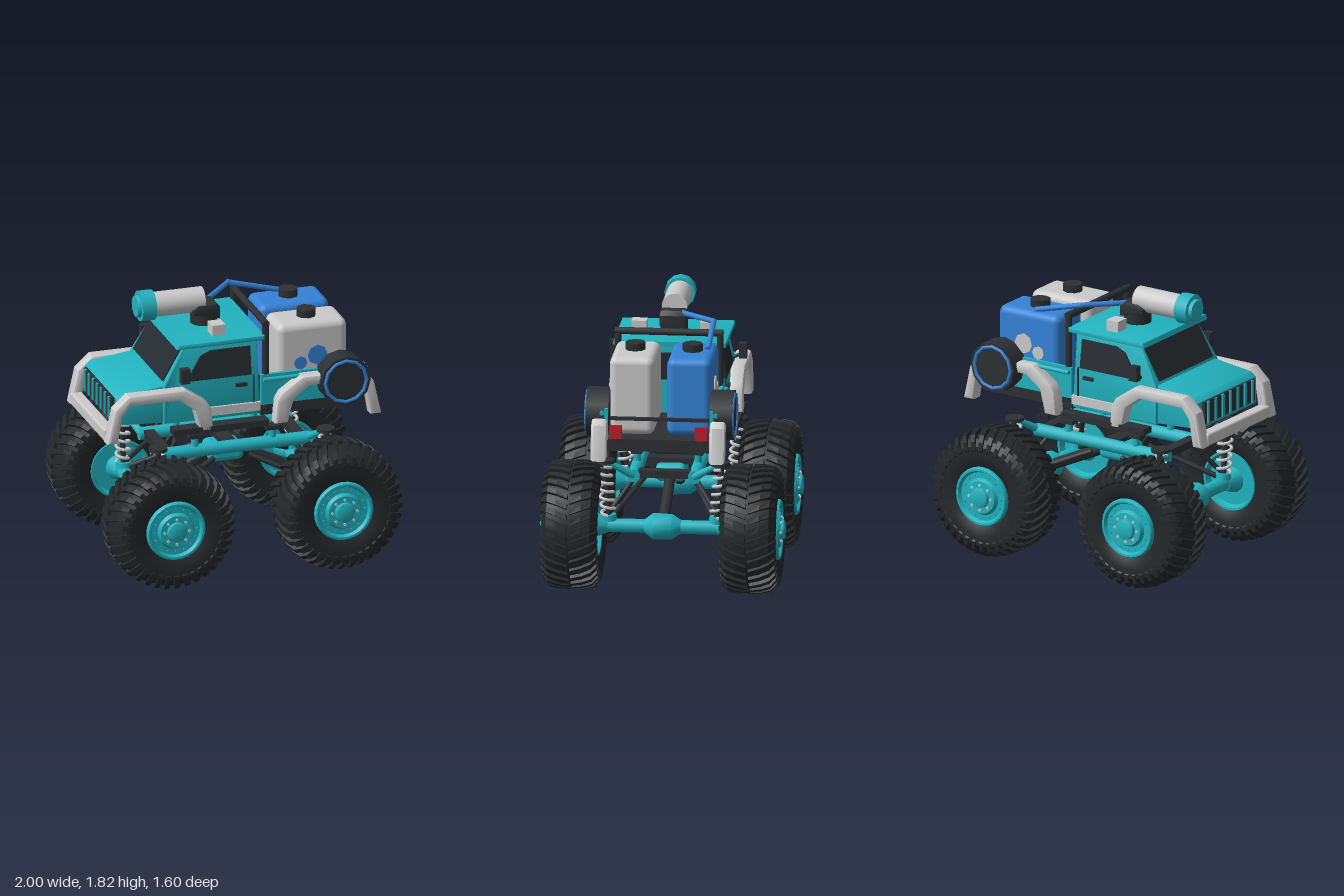
import * as THREE from 'three';
import { RoundedBoxGeometry } from 'three/addons/geometries/RoundedBoxGeometry.js';
import { toCreasedNormals } from 'three/addons/utils/BufferGeometryUtils.js';

const paint = (color, side = THREE.FrontSide) => new THREE.MeshStandardMaterial({ color, side });
const TEAL = paint(0x22b4c0), DARK = paint(0x2d3134), RUBBER = paint(0x24282b);
const BLUE = paint(0x3583d8), RED = paint(0xc01f28), GREY = paint(0xcccccc), GLASS = paint(0x252b30);
const V = (x, y, z) => new THREE.Vector3(x, y, z);

function add(parent, name, geo, mat, x = 0, y = 0, z = 0) {
  const m = new THREE.Mesh(geo, mat);
  m.name = name;
  m.position.set(x, y, z);
  parent.add(m);
  return m;
}
const box = (p, name, mat, w, h, d, x, y, z) => add(p, name, new THREE.BoxGeometry(w, h, d), mat, x, y, z);

// Cylinder between two points
function rod(p, name, mat, a, b, r, r2 = r, seg = 14) {
  const d = b.clone().sub(a);
  const m = add(p, name, new THREE.CylinderGeometry(r2, r, d.length(), seg), mat);
  m.position.copy(a).addScaledVector(d, 0.5);
  m.quaternion.setFromUnitVectors(V(0, 1, 0), d.normalize());
  return m;
}

// Side profile extruded across z between z0 and z1
function slab(p, name, mat, pts, z0, z1, bevel = 0, rule = null) {
  const shape = new THREE.Shape(pts.map(([x, y]) => new THREE.Vector2(x, y)));
  const geo = new THREE.ExtrudeGeometry(shape, {
    depth: z1 - z0 - 2 * bevel, bevelEnabled: bevel > 0, bevelSize: bevel,
    bevelThickness: bevel, bevelOffset: -bevel, bevelSegments: 2,
  });
  geo.translate(0, 0, z0 + bevel);
  if (rule) {
    const q = geo.attributes.position;
    for (let i = 0; i < q.count; i++) q.setZ(i, q.getZ(i) * rule(q.getY(i)));
  }
  return add(p, name, toCreasedNormals(geo, 0.6), mat);
}

function lathe(p, name, mat, pts, seg, z = 0) {
  const geo = new THREE.LatheGeometry(pts.map(([r, y]) => new THREE.Vector2(r, y)), seg);
  geo.rotateX(Math.PI / 2);
  return add(p, name, toCreasedNormals(geo, 0.6), mat, 0, 0, z);
}

// One half of the tread: slanted lugs swept over the shoulder
function treadGeometry(count) {
  const path = [[0.008, 0.4], [0.08, 0.4], [0.14, 0.388], [0.175, 0.35], [0.183, 0.315]];
  const pos = [];
  for (let n = 0; n < count; n++) {
    const rings = path.map(([z, r], k) => {
      const a = (n / count) * Math.PI * 2 + z * 0.95, w = 0.052, lift = k === 4 ? 0.003 : 0.024;
      return [[r - 0.01, -w, z - 0.004], [r + lift, -w * 0.8, z * 1.03], [r + lift, w * 0.8, z * 1.03], [r - 0.01, w, z - 0.004]]
        .map(([R, da, Z]) => [R * Math.cos(a + da), R * Math.sin(a + da), Z]);
    });
    const quad = (a, b, c, d) => pos.push(...a, ...b, ...c, ...a, ...c, ...d);
    for (let k = 0; k < 4; k++) for (let i = 0; i < 4; i++) {
      const j = (i + 1) % 4;
      quad(rings[k][i], rings[k][j], rings[k + 1][j], rings[k + 1][i]);
    }
    quad(...rings[4]);
    quad(...[...rings[0]].reverse());
  }
  const geo = new THREE.BufferGeometry();
  geo.setAttribute('position', new THREE.Float32BufferAttribute(pos, 3));
  geo.computeVertexNormals();
  return geo;
}
const TREAD = treadGeometry(36);

function wheel() {
  const g = new THREE.Group();
  g.name = 'wheel';
  lathe(g, 'tyre', RUBBER, [[0.19, -0.15], [0.21, -0.165], [0.28, -0.183], [0.34, -0.18], [0.385, -0.145], [0.402, -0.08],
    [0.402, 0.08], [0.385, 0.145], [0.34, 0.18], [0.28, 0.183], [0.21, 0.165], [0.19, 0.15]], 48);
  add(g, 'outerTread', TREAD, RUBBER);
  const inner = add(g, 'innerTread', TREAD, RUBBER);
  inner.scale.z = -1;
  inner.rotation.z = Math.PI / 36;
  lathe(g, 'rim', TEAL, [[0, -0.13], [0.17, -0.13], [0.185, -0.17], [0.2, -0.17], [0.2, 0.175], [0.192, 0.187],
    [0.178, 0.187], [0.165, 0.165], [0.125, 0.165], [0.11, 0.19], [0.068, 0.19], [0.064, 0.21], [0.05, 0.216], [0, 0.216]], 32);
  for (let i = 0; i < 8; i++) {
    const a = (i / 8) * Math.PI * 2, c = Math.cos(a), s = Math.sin(a);
    rod(g, 'wheelNut', GREY, V(c * 0.085, s * 0.085, 0.18), V(c * 0.085, s * 0.085, 0.2), 0.01, 0.01, 6);
  }
  for (let i = 0; i < 16; i++) {
    const a = (i / 16) * Math.PI * 2;
    rod(g, 'rimBolt', TEAL, V(Math.cos(a) * 0.147, Math.sin(a) * 0.147, 0.16), V(Math.cos(a) * 0.147, Math.sin(a) * 0.147, 0.174), 0.008, 0.008, 6);
  }
  return g;
}

class Helix extends THREE.Curve {
  getPoint(t, out = new THREE.Vector3()) {
    const a = t * Math.PI * 12;
    return out.set(Math.cos(a) * 0.045, 0.5 + t * 0.33, 0.355 + t * 0.03 + Math.sin(a) * 0.045);
  }
}
const SPRING = new THREE.TubeGeometry(new Helix(), 110, 0.011, 6);

// Wheel, spring and links for one corner, built at the rear on +z
function corner() {
  const g = new THREE.Group();
  g.name = 'suspensionCorner';
  const w = wheel();
  w.position.set(0.575, 0.428, 0.585);
  g.add(w);
  add(g, 'coilSpring', SPRING, GREY, 0.575);
  rod(g, 'damper', DARK, V(0.575, 0.46, 0.35), V(0.575, 0.86, 0.387), 0.018);
  rod(g, 'springCap', DARK, V(0.575, 0.85, 0.375), V(0.575, 0.872, 0.375), 0.062, 0.062, 12);
  rod(g, 'springSeat', TEAL, V(0.575, 0.46, 0.35), V(0.575, 0.5, 0.355), 0.05);
  rod(g, 'shockArm', TEAL, V(0.5, 0.75, 0.2), V(0.575, 0.85, 0.36), 0.028, 0.018, 10);
  rod(g, 'lowerLink', DARK, V(0.12, 0.66, 0.15), V(0.56, 0.47, 0.34), 0.018);
  rod(g, 'upperLink', DARK, V(0.42, 0.73, 0.19), V(0.56, 0.5, 0.36), 0.016);
  rod(g, 'hubFlange', TEAL, V(0.575, 0.428, 0.36), V(0.575, 0.428, 0.46), 0.05, 0.09);
  rod(g, 'mountPost', TEAL, V(0.265, 0.75, 0.2), V(0.265, 0.85, 0.2), 0.025);
  box(g, 'mountPad', DARK, 0.095, 0.028, 0.07, 0.265, 0.855, 0.2);
  return g;
}

function chassis() {
  const g = new THREE.Group();
  g.name = 'chassis';
  for (const sx of [1, -1]) {
    for (const sz of [1, -1]) {
      const c = corner();
      c.scale.set(sx, 1, sz);
      g.add(c);
    }
    rod(g, 'axle', TEAL, V(sx * 0.575, 0.428, -0.42), V(sx * 0.575, 0.428, 0.42), 0.046);
    const diff = lathe(g, 'differential', TEAL, [[0.046, -0.12], [0.085, -0.06], [0.09, 0.06], [0.046, 0.12]], 12);
    diff.position.set(sx * 0.575, 0.428, 0);
    rod(g, 'driveShaft', DARK, V(sx * 0.53, 0.45, 0), V(sx * 0.08, 0.66, 0), 0.036);
    box(g, 'crossMember', DARK, 0.07, 0.05, 0.36, sx * 0.46, 0.755, 0);
    rod(g, 'rail', TEAL, V(-0.52, 0.748, sx * 0.2), V(0.52, 0.748, sx * 0.2), 0.043);
  }
  box(g, 'centreCrossMember', DARK, 0.1, 0.04, 0.4, 0, 0.73, 0);
  add(g, 'transferCase', new RoundedBoxGeometry(0.24, 0.12, 0.2, 3, 0.04), TEAL, -0.01, 0.66, 0);
  return g;
}

const taper = (y) => 1 - 0.1 * Math.max(0, (y - 1.26) / 0.26);

// Everything that repeats on both flanks, built on +z
function flank() {
  const g = new THREE.Group();
  g.name = 'flank';
  const arch = [[-0.94, 0.95], [-0.865, 0.95], [-0.835, 1.13], [-0.78, 1.2], [-0.45, 1.2], [-0.34, 1.12], [-0.3, 0.96],
    [-0.21, 0.96], [-0.225, 1.12], [-0.255, 1.17], [-0.4, 1.27], [-0.79, 1.27], [-0.89, 1.18]];
  slab(g, 'frontFender', GREY, arch, 0.335, 0.44, 0.02);
  slab(g, 'rearFender', GREY, arch.map(([x, y]) => [-x, y]).reverse(), 0.335, 0.44, 0.02);
  slab(g, 'sideWindow', GLASS, [[-0.37, 1.3], [0.07, 1.3], [0.07, 1.49], [-0.2, 1.49], [-0.27, 1.46]], 0.34, 0.371, 0, taper);
  box(g, 'doorStripe', GREY, 0.36, 0.06, 0.02, -0.05, 1.075, 0.362);
  box(g, 'doorHandle', DARK, 0.075, 0.022, 0.02, 0, 1.24, 0.37);
  box(g, 'doorSeam', DARK, 0.006, 0.2, 0.01, 0.085, 1.2, 0.362);
  box(g, 'mirror', DARK, 0.06, 0.1, 0.05, -0.405, 1.37, 0.425);
  rod(g, 'mirrorArm', DARK, V(-0.4, 1.32, 0.35), V(-0.4, 1.35, 0.42), 0.012, 0.012, 8);
  box(g, 'runningBoard', DARK, 0.65, 0.042, 0.09, -0.16, 0.98, 0.395);
  box(g, 'bedSide', TEAL, 0.71, 0.21, 0.025, 0.495, 1.18, 0.345);
  rod(g, 'bedRail', TEAL, V(0.15, 1.255, 0.372), V(0.86, 1.255, 0.372), 0.015, 0.015, 8);
  box(g, 'tailLight', RED, 0.022, 0.09, 0.08, 0.868, 1.135, 0.28);
  box(g, 'tailLightBracket', DARK, 0.03, 0.09, 0.05, 0.845, 1.1, 0.28);
  rod(g, 'rollBarPost', DARK, V(0.175, 1.04, 0.335), V(0.175, 1.63, 0.335), 0.022, 0.022, 10);
  box(g, 'roofLamp', GREY, 0.09, 0.08, 0.1, -0.125, 1.595, 0.225);
  // Hose reel hung on the bed side
  rod(g, 'hoseReel', DARK, V(0.68, 1.22, 0.33), V(0.68, 1.22, 0.48), 0.17, 0.17, 12);
  add(g, 'hoseRing', new THREE.TorusGeometry(0.142, 0.012, 6, 12), BLUE, 0.68, 1.22, 0.48);
  return g;
}

function tank(name, mat, dotMat, s) {
  const g = new THREE.Group();
  g.name = name;
  add(g, 'tankBody', new RoundedBoxGeometry(0.48, 0.52, 0.295, 4, 0.05), mat, 0.5, 1.34, s * 0.188);
  rod(g, 'tankCap', DARK, V(0.5, 1.59, s * 0.188), V(0.5, 1.65, s * 0.188), 0.066, 0.066, 8);
  for (const [x, y, r] of [[0.415, 1.33, 0.045], [0.53, 1.375, 0.068]])
    rod(g, 'tankBadge', dotMat, V(x, y, s * 0.32), V(x, y, s * 0.343), r, r, 8);
  return g;
}

function waterCannon() {
  const g = new THREE.Group();
  g.name = 'waterCannon';
  rod(g, 'pivot', DARK, V(-0.14, 1.55, 0), V(-0.14, 1.65, 0), 0.09, 0.09, 12);
  slab(g, 'cradle', DARK, [[-0.24, 1.64], [-0.05, 1.6], [-0.05, 1.68], [-0.075, 1.71], [-0.2, 1.71], [-0.24, 1.68]], -0.09, 0.09, 0.02);
  rod(g, 'barrel', GREY, V(-0.15, 1.722, 0), V(-0.51, 1.722, 0), 0.083, 0.083, 24);
  rod(g, 'muzzleRing', TEAL, V(-0.49, 1.722, 0), V(-0.585, 1.722, 0), 0.102, 0.102, 12);
  rod(g, 'nozzle', TEAL, V(-0.57, 1.722, 0), V(-0.61, 1.722, 0), 0.078, 0.07, 12);
  const path = [V(-0.09, 1.695, -0.06), V(0.12, 1.7, -0.285), V(0.47, 1.605, -0.285)];
  for (let i = 0; i < 2; i++) rod(g, 'hose', BLUE, path[i], path[i + 1], 0.018, 0.018, 10);
  add(g, 'hoseJoint', new THREE.SphereGeometry(0.019, 10, 8), BLUE, ...path[1].toArray());
  return g;
}

function body() {
  const g = new THREE.Group();
  g.name = 'body';
  slab(g, 'hood', TEAL, [[-0.845, 1.04], [-0.5, 1.02], [-0.45, 1.295], [-0.81, 1.25], [-0.845, 1.22]], -0.34, 0.34, 0.012);
  slab(g, 'cab', TEAL, [[-0.53, 1.02], [0.13, 1.02], [0.12, 1.53], [-0.385, 1.53], [-0.53, 1.28]], -0.362, 0.362, 0.01, taper);
  slab(g, 'windshield', GLASS, [[-0.525, 1.305], [-0.4, 1.27], [-0.35, 1.515], [-0.402, 1.515]], -0.31, 0.31);
  slab(g, 'roof', TEAL, [[-0.44, 1.53], [0.16, 1.53], [0.16, 1.562], [-0.43, 1.562]], -0.37, 0.37, 0.008);
  box(g, 'rearWindow', GLASS, 0.015, 0.18, 0.5, 0.123, 1.39, 0);
  // Front end
  box(g, 'grille', DARK, 0.03, 0.15, 0.58, -0.852, 1.145, 0);
  for (let i = -3; i <= 3; i++) box(g, 'grilleBar', TEAL, 0.018, 0.15, 0.022, -0.868, 1.145, i * 0.085);
  add(g, 'frontBumper', new RoundedBoxGeometry(0.08, 0.085, 0.72, 2, 0.015), GREY, -0.9, 0.99, 0);
  // Load bed
  box(g, 'bedFloor', DARK, 0.7, 0.08, 0.69, 0.49, 1.04, 0);
  box(g, 'tankStrap', DARK, 0.02, 0.022, 0.7, 0.765, 1.2, 0);
  rod(g, 'rollBar', DARK, V(0.175, 1.635, -0.355), V(0.175, 1.635, 0.355), 0.024, 0.024, 10);
  for (const s of [1, -1]) {
    const f = flank();
    f.scale.z = s;
    g.add(f);
  }
  g.add(tank('whiteTank', GREY, BLUE, 1), tank('blueTank', BLUE, GREY, -1), waterCannon());
  return g;
}

export function createModel() {
  const model = new THREE.Group();
  model.name = 'monsterTruck';
  model.add(chassis(), body());
  return model;
}
